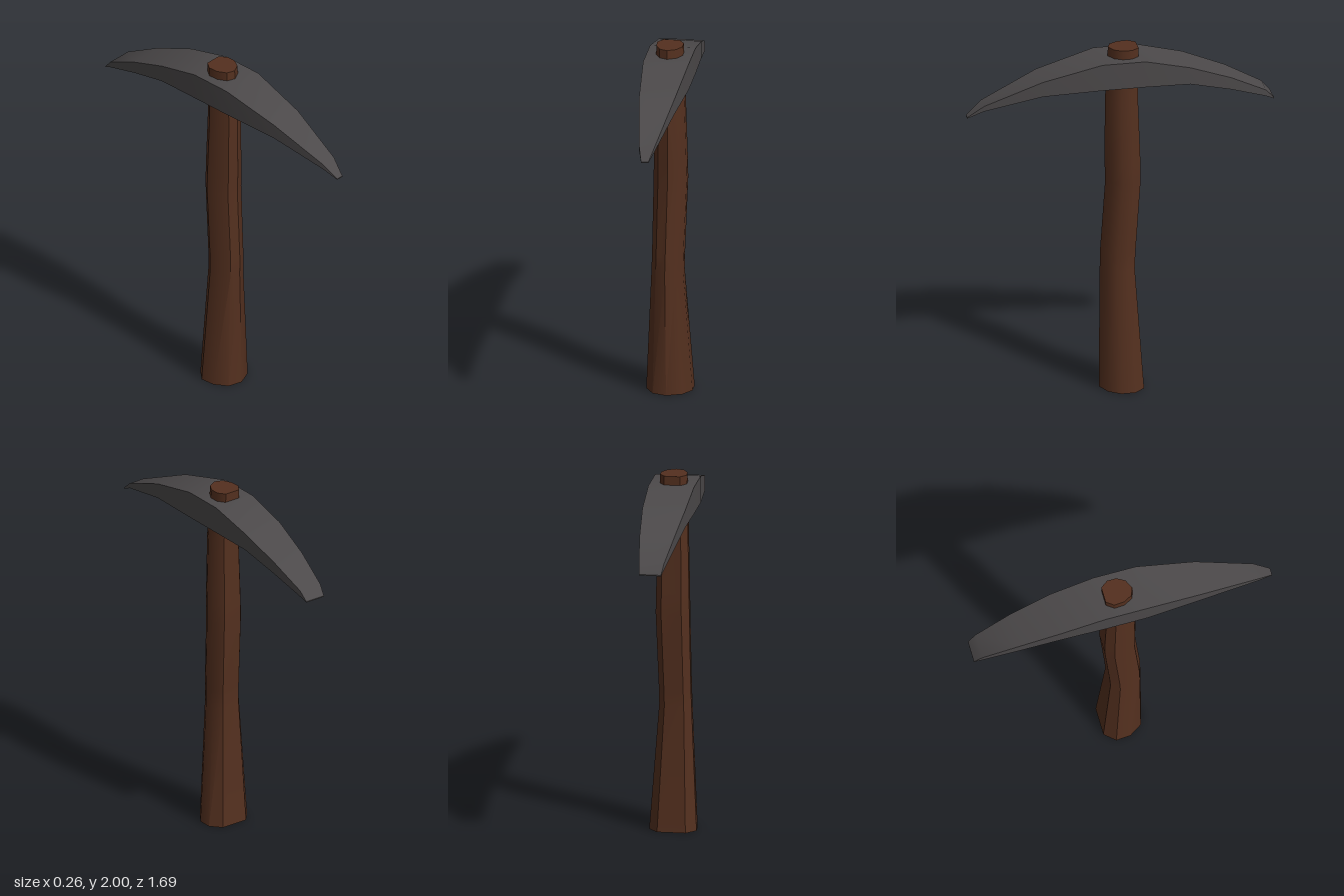
import * as THREE from 'three';
import { toCreasedNormals } from 'three/addons/utils/BufferGeometryUtils.js';

// Skin a row of rings (counter-clockwise seen from the far end) and cap both ends
function loft(rings, crease) {
  const n = rings[0].length, last = rings.length - 1, index = [];
  for (let i = 0; i < last; i++) {
    for (let j = 0; j < n; j++) {
      const a = i * n + j, b = i * n + (j + 1) % n;
      index.push(a, b, b + n, a, b + n, a + n);
    }
  }
  for (let j = 1; j < n - 1; j++) {
    index.push(0, j + 1, j);
    index.push(last * n, last * n + j, last * n + j + 1);
  }
  const geometry = new THREE.BufferGeometry();
  geometry.setAttribute('position', new THREE.Float32BufferAttribute(rings.flat(2), 3));
  geometry.setIndex(index);
  return toCreasedNormals(geometry, crease);
}

function part(name, geometry, color) {
  const mesh = new THREE.Mesh(geometry, new THREE.MeshStandardMaterial({ color }));
  mesh.name = name;
  return mesh;
}

export function createModel() {
  const group = new THREE.Group();
  group.name = 'pickaxe';

  // Handle: nine-sided outline, flat at the back, fitted to each level's extents
  const outline = [
    [-1, -0.5], [-0.95, 0.2], [-0.6, 0.8], [0, 1], [0.65, 0.7],
    [1, 0.15], [1, -0.5], [0.6, -1], [-0.6, -1],
  ];
  // y, min x, max x, min z, max z
  const levels = [
    [0, -0.13, 0.13, -0.12, 0.115],
    [0.7, -0.097, 0.08, -0.075, 0.108],
    [0.8, -0.094, 0.082, -0.079, 0.107],
    [1.22, -0.09, 0.095, -0.105, 0.08],
    [1.34, -0.088, 0.093, -0.104, 0.084],
    [1.7, -0.08, 0.083, -0.092, 0.081],
    [2, -0.075, 0.071, -0.098, 0.064],
  ];
  const handleRings = levels.map(([y, x0, x1, z0, z1]) => outline.map(([u, v]) => [
    (x0 + x1) / 2 + u * (x1 - x0) / 2, y, (z0 + z1) / 2 + v * (z1 - z0) / 2,
  ]));
  group.add(part('handle', loft(handleRings, 0.7), 0x54301f));

  // Head: rectangular sections from the broad back blade to the front point
  // z, half width, bottom, top
  const sections = [
    [-0.845, 0.06, 1.643, 1.649],
    [-0.8, 0.069, 1.665, 1.7],
    [-0.6, 0.096, 1.733, 1.802],
    [-0.37, 0.118, 1.793, 1.89],
    [-0.12, 0.125, 1.8, 1.95],
    [0.12, 0.125, 1.8, 1.95],
    [0.445, 0.096, 1.78, 1.865],
    [0.76, 0.046, 1.7, 1.73],
    [0.848, 0.02, 1.655, 1.661],
  ];
  const headRings = sections.map(([z, w, bottom, top]) => [
    [w, bottom, z], [w, top, z], [-w, top, z], [-w, bottom, z],
  ]);
  group.add(part('head', loft(headRings, 0.6), 0x4c494a));

  return group;
}
